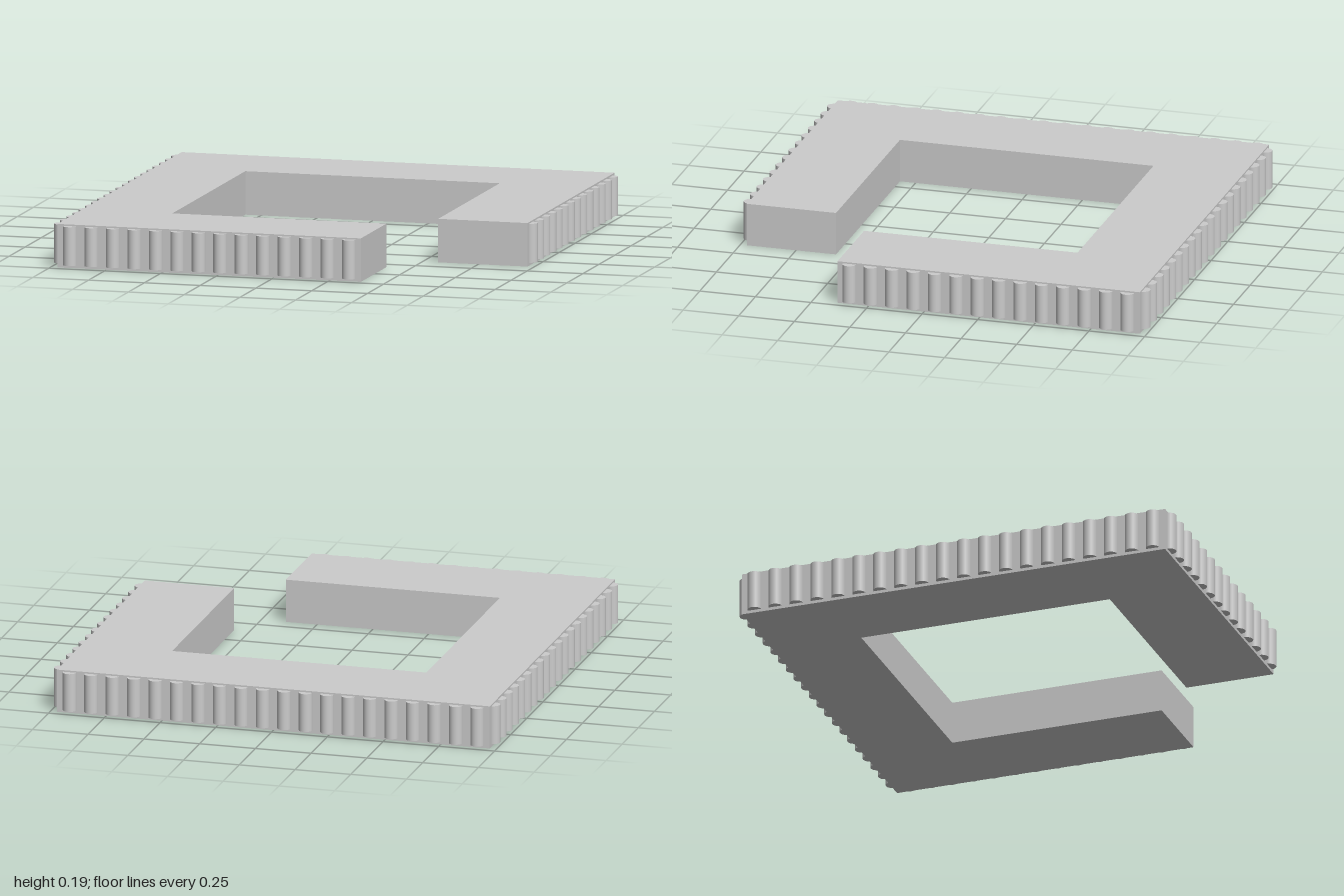
import * as THREE from 'three';

const OUTER = 0.97, INNER = 0.57, CUT = 0.39; // frame half sizes and gap edge
const HEIGHT = 0.19, RIB_RADIUS = 0.03, RIB_HEIGHT = 0.17;
const FIRST = -0.914, PITCH = 0.0962;

export function createModel() {
  const model = new THREE.Group();
  const material = new THREE.MeshStandardMaterial({ color: 0xcccccc });

  // Square frame with its front left corner cut out
  const outline = [
    [-OUTER, -OUTER], [OUTER, -OUTER], [OUTER, CUT], [INNER, CUT],
    [INNER, -INNER], [-INNER, -INNER], [-INNER, INNER],
    [CUT, INNER], [CUT, OUTER], [-OUTER, OUTER],
  ];
  // Shape y becomes -z once the extrusion is laid flat
  const shape = new THREE.Shape(outline.map(([x, z]) => new THREE.Vector2(x, -z)));
  const frameGeometry = new THREE.ExtrudeGeometry(shape, { depth: HEIGHT, bevelEnabled: false });
  frameGeometry.rotateX(-Math.PI / 2);
  const frame = new THREE.Mesh(frameGeometry, material);
  frame.name = 'frame';
  model.add(frame);

  // Upright round ribs, half sunk into each outer wall
  const ribGeometry = new THREE.CylinderGeometry(RIB_RADIUS, RIB_RADIUS, RIB_HEIGHT, 24);
  const addRibs = (name, count, place) => {
    const row = new THREE.Group();
    row.name = name;
    for (let i = 0; i < count; i++) {
      const [x, z] = place(FIRST + i * PITCH);
      const rib = new THREE.Mesh(ribGeometry, material);
      rib.name = 'rib';
      rib.position.set(x, HEIGHT / 2 + 0.003, z);
      row.add(rib);
    }
    model.add(row);
  };
  addRibs('backRibs', 20, t => [t, -OUTER]);
  addRibs('rightRibs', 20, t => [-OUTER, t]);
  addRibs('frontRibs', 14, t => [t, OUTER]);
  addRibs('leftRibs', 14, t => [OUTER, t]);

  return model;
}
